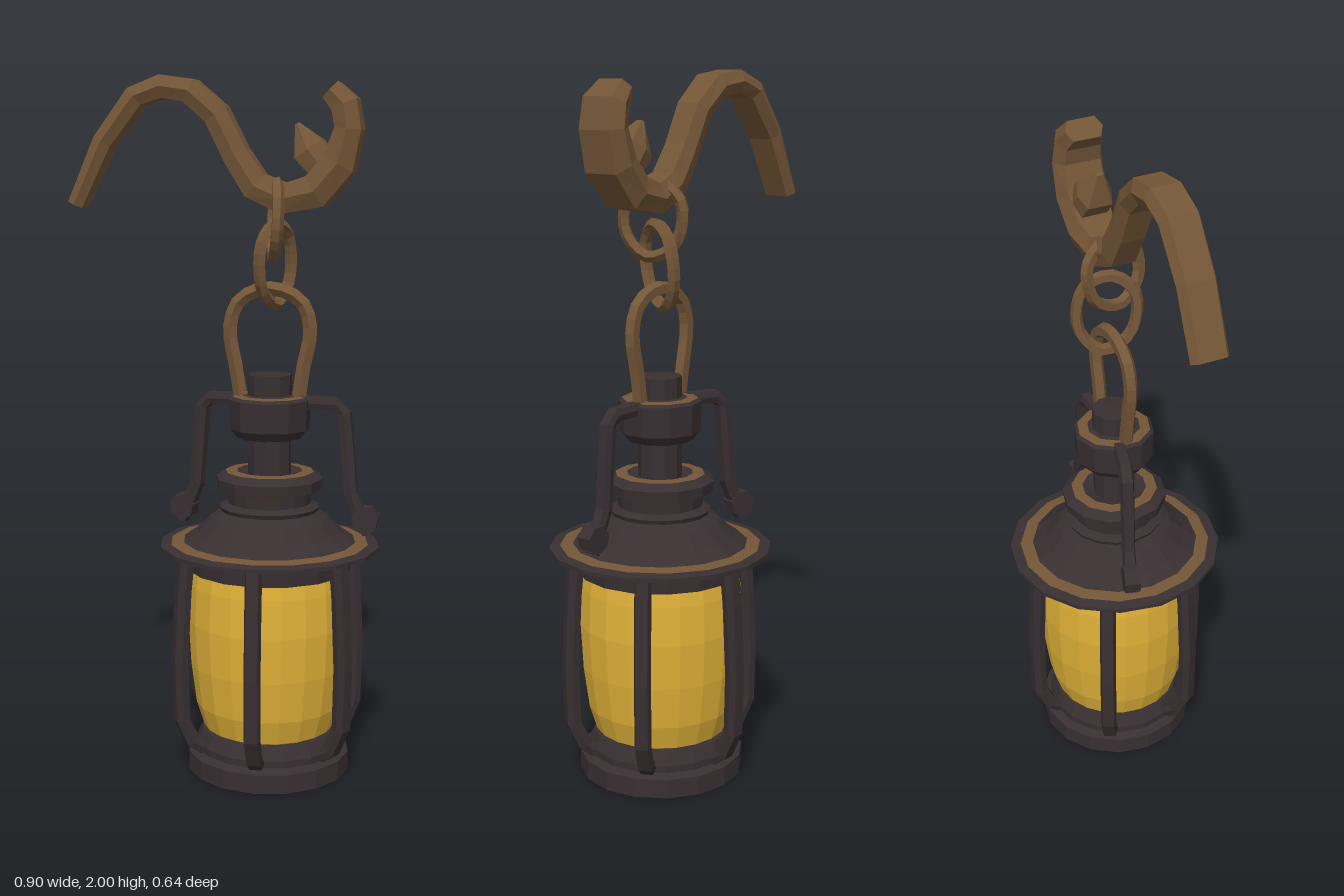
import * as THREE from 'three';

const paint = (name, color) => {
  const m = new THREE.MeshStandardMaterial({ color, flatShading: true });
  m.name = name;
  return m;
};

// Sweeps a six-sided strap along [x, y, halfThickness, halfWidth, z] stations
function strap(stations) {
  const pos = [], idx = [], n = stations.length;
  stations.forEach(([x, y, t, w, z = 0], i) => {
    const a = stations[Math.max(i - 1, 0)], b = stations[Math.min(i + 1, n - 1)];
    const d = new THREE.Vector2(b[0] - a[0], b[1] - a[1]).normalize();
    const section = [[t, -0.72 * w], [t, 0.72 * w], [0, w], [-t, 0.72 * w], [-t, -0.72 * w], [0, -w]];
    for (const [u, v] of section) pos.push(x - d.y * u, y + d.x * u, z + v);
  });
  for (let i = 0; i < n - 1; i++) {
    for (let k = 0; k < 6; k++) {
      const a = i * 6 + k, b = i * 6 + (k + 1) % 6;
      idx.push(a, b, a + 6, b, b + 6, a + 6);
    }
  }
  const e = (n - 1) * 6;
  for (let k = 1; k < 5; k++) idx.push(0, k + 1, k, e, e + k, e + k + 1);
  const g = new THREE.BufferGeometry();
  g.setAttribute('position', new THREE.Float32BufferAttribute(pos, 3));
  g.setIndex(idx);
  g.computeVertexNormals();
  return g;
}

const lathe = (points, sides = 16) =>
  new THREE.LatheGeometry(points.map(p => new THREE.Vector2(...p)), sides);

const loop = (points, radius, closed) => new THREE.TubeGeometry(
  new THREE.CatmullRomCurve3(points.map(p => new THREE.Vector3(...p)), closed, 'centripetal'),
  22, radius, 5, closed);

export function createModel() {
  const iron = paint('dark iron', 0x382f31);
  const rust = paint('rusty brown', 0x745637);
  const amber = paint('amber glass', 0xe0b138);
  const model = new THREE.Group();
  const lantern = new THREE.Group();
  lantern.name = 'lantern';
  lantern.position.x = 0.127;
  model.add(lantern);
  const add = (parent, name, geometry, material) => {
    const mesh = new THREE.Mesh(geometry, material);
    mesh.name = name;
    parent.add(mesh);
    return mesh;
  };

  // Base and glass
  add(lantern, 'base', lathe([[0, 0], [0.237, 0], [0.237, 0.055], [0.212, 0.065],
    [0.212, 0.085], [0.195, 0.12], [0, 0.12]]), iron);
  add(lantern, 'glass', lathe([[0.15, 0.11], [0.19, 0.13], [0.212, 0.2], [0.228, 0.32],
    [0.235, 0.45], [0.23, 0.56], [0.222, 0.62]], 20), amber);
  add(lantern, 'glassCollar', lathe([[0.215, 0.6], [0.236, 0.602], [0.24, 0.665]]), iron);

  // Brim and hood, split where the colour changes
  add(lantern, 'brimUnderside', lathe([[0.23, 0.654], [0.318, 0.662]]), rust);
  add(lantern, 'brimRim', lathe([[0.318, 0.662], [0.318, 0.674], [0.287, 0.679]]), iron);
  add(lantern, 'brimWornBand', lathe([[0.287, 0.679], [0.25, 0.684]]), rust);
  add(lantern, 'hood', lathe([[0.25, 0.684], [0.21, 0.712], [0.17, 0.752], [0.135, 0.772],
    [0.125, 0.78]]), iron);
  add(lantern, 'neck', lathe([[0.14, 0.772], [0.145, 0.784], [0.12, 0.795], [0.122, 0.828]]), iron);
  add(lantern, 'neckWornLine', lathe([[0.122, 0.828], [0.152, 0.838]]), rust);
  add(lantern, 'neckRing', lathe([[0.152, 0.838], [0.155, 0.868], [0.128, 0.886]], 12), iron);
  add(lantern, 'neckRingTop', lathe([[0.128, 0.886], [0.095, 0.888]], 12), rust);
  add(lantern, 'neckInset', lathe([[0.095, 0.888], [0.06, 0.876]], 12), iron);

  // Post, cap and knob
  add(lantern, 'post', lathe([[0.062, 0.87], [0.062, 1.0]], 10), iron);
  add(lantern, 'cap', lathe([[0.06, 0.985], [0.095, 0.985], [0.115, 1.01], [0.118, 1.095],
    [0.108, 1.103]], 10), iron);
  add(lantern, 'capWornTop', lathe([[0.108, 1.103], [0.078, 1.105]], 10), rust);
  add(lantern, 'knob', lathe([[0.078, 1.105], [0.063, 1.107], [0.063, 1.165], [0, 1.168]], 10), iron);

  // Six cage bars around the glass
  const barPath = [[0.2, 0.075], [0.235, 0.1], [0.268, 0.17], [0.272, 0.35], [0.262, 0.55], [0.25, 0.665]]
    .map(([x, y]) => [x, y, 0.02, 0.024]);
  const barGeometry = strap(barPath);
  for (let i = 0; i < 6; i++) {
    add(lantern, 'cageBar', barGeometry, iron).rotation.y = Math.PI / 6 + i * Math.PI / 3;
  }

  // Pair of bent side arms with bolted feet
  const armGeometry = strap([[0.09, 1.088], [0.19, 1.085], [0.215, 1.06], [0.225, 0.95],
    [0.235, 0.83], [0.258, 0.775], [0.288, 0.715]].map(([x, y]) => [x, y, 0.018, 0.02]));
  for (const turn of [0, Math.PI - 0.27]) {
    const arm = new THREE.Group();
    arm.name = 'sideArm';
    arm.rotation.y = turn;
    add(arm, 'armBar', armGeometry, iron);
    const bolt = add(arm, 'armFoot', new THREE.CylinderGeometry(0.04, 0.04, 0.045, 7), iron);
    bolt.rotation.x = Math.PI / 2;
    bolt.position.set(0.278, 0.755, 0);
    lantern.add(arm);
  }

  // Bail and the two twisted chain links
  add(model, 'bail', loop([[0.045, 1.09, 0], [0.03, 1.18, 0], [0.012, 1.3, 0], [0.04, 1.375, 0],
    [0.125, 1.41, 0], [0.215, 1.375, 0], [0.242, 1.3, 0], [0.222, 1.18, 0], [0.21, 1.09, 0]], 0.021, false), rust);
  const oval = (h, w) => [[0, h, 0], [0, 0.6 * h, w], [0, -0.5 * h, w], [0, -h, 0], [0, -0.5 * h, -w], [0, 0.6 * h, -w]];
  for (const [name, y, z, h, w, turn, lean] of [
    ['upperLink', 1.6, 0.01, 0.105, 0.078, 0.25, -0.2],
    ['lowerLink', 1.475, -0.012, 0.115, 0.072, -0.4, 0.15]]) {
    const link = add(model, name, loop(oval(h, w), 0.018, true), rust);
    link.position.set(0.14, y, z);
    link.rotation.set(lean, turn, 0);
  }

  // Hanging hook and its inner barb
  add(model, 'hook', strap([
    [-0.43, 1.64, 0.022, 0.054], [-0.35, 1.815, 0.027, 0.055], [-0.255, 1.94, 0.03, 0.057],
    [-0.18, 1.967, 0.032, 0.057], [-0.1, 1.955, 0.034, 0.055], [-0.025, 1.89, 0.035, 0.05],
    [0.03, 1.78, 0.036, 0.048], [0.085, 1.695, 0.04, 0.05], [0.165, 1.66, 0.042, 0.06],
    [0.255, 1.68, 0.048, 0.07], [0.32, 1.755, 0.046, 0.075], [0.346, 1.85, 0.037, 0.074],
    [0.335, 1.915, 0.038, 0.07], [0.295, 1.955, 0.03, 0.055]]), rust);
  add(model, 'hookBarb', strap([[0.29, 1.73, 0.04, 0.055], [0.235, 1.795, 0.045, 0.05],
    [0.2, 1.865, 0.006, 0.012]]), rust);
  return model;
}
